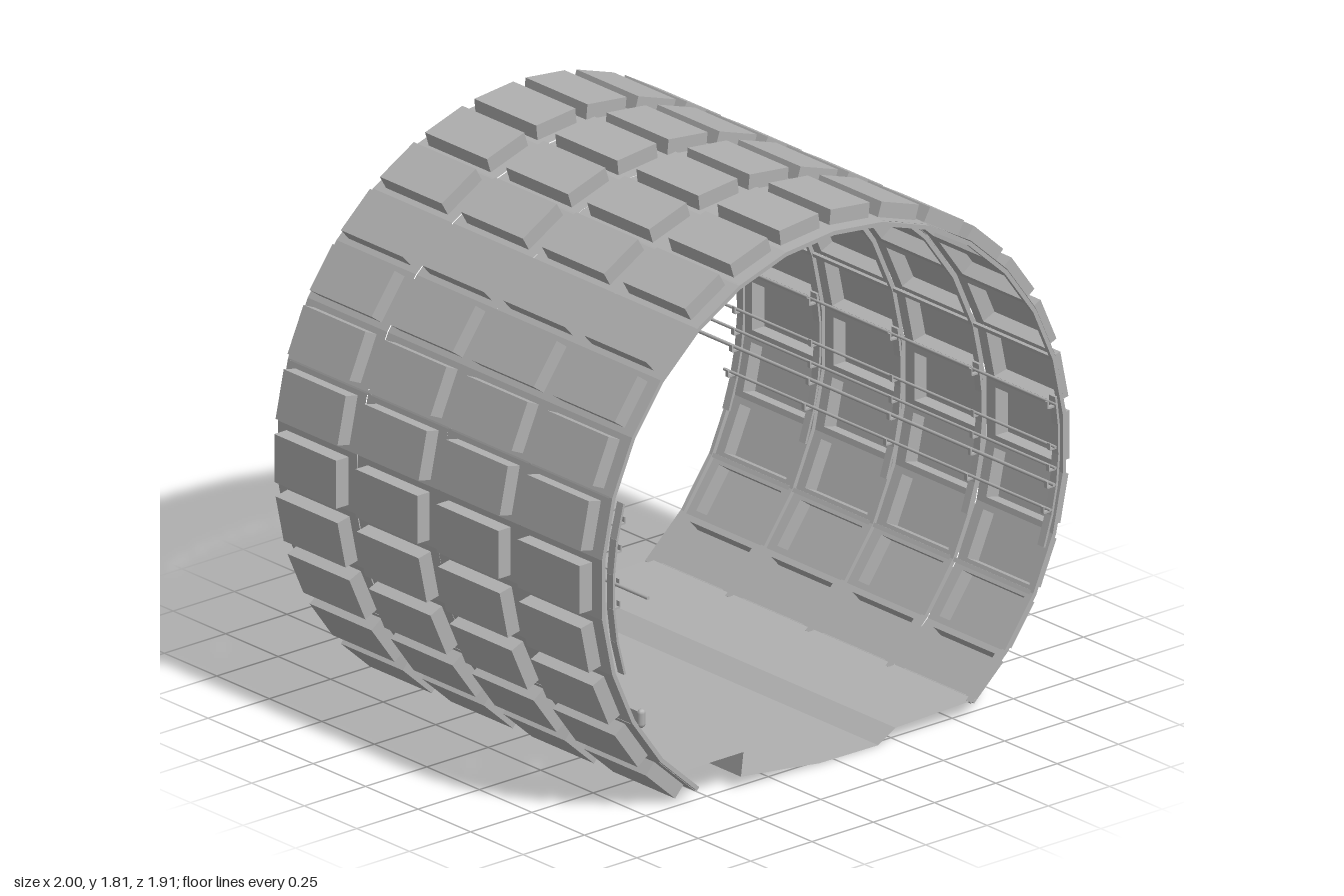
import * as THREE from 'three';
import { mergeGeometries } from 'three/addons/utils/BufferGeometryUtils.js';

const CY = 0.81;               // height of the tunnel axis
const R = 0.955;               // lining polygon radius
const STEP = 12;               // degrees per panel
const APO = R * Math.cos(THREE.MathUtils.degToRad(STEP / 2));
const CHORD = 2 * R * Math.sin(THREE.MathUtils.degToRad(STEP / 2));
const RING = 0.386;            // length of one ring along z
const PW = 0.16, PL = 0.295, PH = 1.0 - APO;   // coffer size

const rad = THREE.MathUtils.degToRad;
const isJoint = (deg) => Math.abs(deg) % 48 === 24;

export function createModel() {
  const model = new THREE.Group();
  const concrete = new THREE.MeshStandardMaterial({ color: 0xb0b0b0, side: THREE.DoubleSide });
  concrete.name = 'concrete grey';

  const add = (parent, name, geo, x = 0, y = 0, z = 0) => {
    const mesh = new THREE.Mesh(geo, concrete);
    mesh.name = name;
    mesh.position.set(x, y, z);
    parent.add(mesh);
    return mesh;
  };

  // Flat frame of one cell with the coffer opening; trimmed along joints
  const frameGeometry = (trimA, trimB) => {
    const x0 = -CHORD / 2 + trimA, x1 = CHORD / 2 - trimB, h = RING / 2 - 0.004;
    const rect = (p, a, b, c) => {
      p.moveTo(a, -c); p.lineTo(b, -c); p.lineTo(b, c); p.lineTo(a, c); p.closePath();
      return p;
    };
    const s = rect(new THREE.Shape(), x0, x1, h);
    s.holes.push(rect(new THREE.Path(), -PW / 2, PW / 2, PL / 2));
    return new THREE.ShapeGeometry(s).rotateX(-Math.PI / 2);
  };

  // Coffer: outer plate and four walls, open towards the inside
  const coffer = mergeGeometries([
    new THREE.PlaneGeometry(PW, PL).rotateX(-Math.PI / 2).translate(0, PH, 0),
    new THREE.PlaneGeometry(PW, PH).translate(0, PH / 2, PL / 2),
    new THREE.PlaneGeometry(PW, PH).rotateY(Math.PI).translate(0, PH / 2, -PL / 2),
    new THREE.PlaneGeometry(PL, PH).rotateY(Math.PI / 2).translate(PW / 2, PH / 2, 0),
    new THREE.PlaneGeometry(PL, PH).rotateY(-Math.PI / 2).translate(-PW / 2, PH / 2, 0),
  ]);
  const ringRib = new THREE.BoxGeometry(CHORD, 0.014, 0.014);
  const longRib = new THREE.BoxGeometry(0.014, 0.01, RING * 4);

  // Lining: 24 rows of coffers, four rings long
  for (let k = -12; k < 12; k++) {
    const deg = STEP / 2 + STEP * k;
    const row = new THREE.Group();
    row.name = 'liningRow';
    row.position.y = CY;
    row.rotation.z = -rad(deg);
    const frame = frameGeometry(isJoint(deg - 6) ? 0.003 : 0, isJoint(deg + 6) ? 0.003 : 0);
    for (let i = 0; i < 4; i++) {
      const z = (i - 1.5) * RING;
      add(row, 'panelFrame', frame, 0, APO, z);
      add(row, 'coffer', coffer, 0, APO, z);
    }
    for (let i = 0; i < 5; i++) {
      const z = (i - 2) * (RING - 0.0035);
      add(row, 'ringJoint', ringRib, 0, APO - 0.01, z);
    }
    if (isJoint(deg + 6)) {
      const rib = new THREE.Group();
      rib.name = 'segmentJoint';
      rib.position.y = CY;
      rib.rotation.z = -rad(deg + 6);
      add(rib, 'jointStrip', longRib, 0, R - 0.009, 0);
      model.add(rib);
    }
    model.add(row);
  }

  // Floor: thin stepped sheet with a raised walkway and a shallow channel
  const profile = [[-0.65, 0.12], [-0.37, 0.12], [-0.38, 0.04], [-0.2, 0.02], [-0.06, 0.002],
    [0.18, 0.0], [0.25, 0.04], [0.58, 0.05]];
  const pos = [], Z = RING * 2;
  for (let i = 0; i < profile.length - 1; i++) {
    const [ax, ay] = profile[i], [bx, by] = profile[i + 1];
    pos.push(ax, ay, Z, bx, by, Z, bx, by, -Z, ax, ay, Z, bx, by, -Z, ax, ay, -Z);
  }
  const floor = new THREE.BufferGeometry();
  floor.setAttribute('position', new THREE.Float32BufferAttribute(pos, 3));
  floor.computeVertexNormals();
  add(model, 'floor', floor);

  // Cables and pipes along the walls: x, y, radius, z start, z end
  const wallLines = [
    ['rightCable', -0.915, 0.83, 0.006, -0.77, 0.955],
    ['leftCable', 0.91, 0.945, 0.005, -0.88, 0.77],
    ['leftCable', 0.905, 0.805, 0.005, -0.865, 0.77],
    ['leftCable', 0.905, 0.735, 0.005, -0.88, 0.77],
    ['leftCable', 0.9, 0.68, 0.006, -0.955, 0.77],
    ['leftCable', 0.885, 0.6, 0.005, -0.785, 0.77],
  ];
  for (const [name, x, y, r, z0, z1] of wallLines) {
    add(model, name, new THREE.CylinderGeometry(r, r, z1 - z0, 8).rotateX(Math.PI / 2), x, y, (z0 + z1) / 2);
  }
  add(model, 'handrail', new THREE.CapsuleGeometry(0.014, 0.035, 4, 8).scale(1, 1, 0.9), -0.785, 0.34, 0.77);
  add(model, 'handrail', new THREE.BoxGeometry(0.024, 0.05, 1.55), -0.785, 0.34, -0.008);

  // Cable racks: curved strips on the walls with upturned hooks
  const rack = (side, z, y0, y1, hooks) => {
    const g = new THREE.Group();
    g.name = side > 0 ? 'leftRack' : 'rightRack';
    const wallX = (y) => Math.sqrt(0.925 ** 2 - (y - CY) ** 2);
    const n = 5;
    for (let i = 0; i < n; i++) {
      const a = y0 + (y1 - y0) * i / n, b = y0 + (y1 - y0) * (i + 1) / n;
      const dx = wallX(b) - wallX(a);
      const bar = add(g, 'rackStrip', new THREE.BoxGeometry(0.008, Math.hypot(dx, b - a), 0.03),
        side * (wallX(a) + wallX(b)) / 2, (a + b) / 2, z);
      bar.rotation.z = -side * Math.atan2(dx, b - a);
    }
    for (const y of hooks) {
      add(g, 'hookArm', new THREE.BoxGeometry(0.03, 0.006, 0.014), side * (wallX(y) - 0.015), y, z);
      add(g, 'hookTip', new THREE.BoxGeometry(0.005, 0.022, 0.014), side * (wallX(y) - 0.03), y + 0.01, z);
    }
    model.add(g);
  };
  for (const z of [0.787, 0.386, 0, -0.386, -0.75]) rack(-1, z, 0.52, 1.09, [1.02, 0.93, 0.82, 0.745]);
  for (const z of [0.75, 0.386, 0, -0.386, -0.75]) rack(1, z, 0.48, 0.97, [0.935, 0.795, 0.725, 0.67, 0.59]);

  // Small lamp below the crown
  add(model, 'lamp', new THREE.BoxGeometry(0.035, 0.012, 0.1), 0.36, 1.655, 0);
  add(model, 'lampStem', new THREE.BoxGeometry(0.008, 0.035, 0.02), 0.365, 1.675, 0);

  return model;
}
